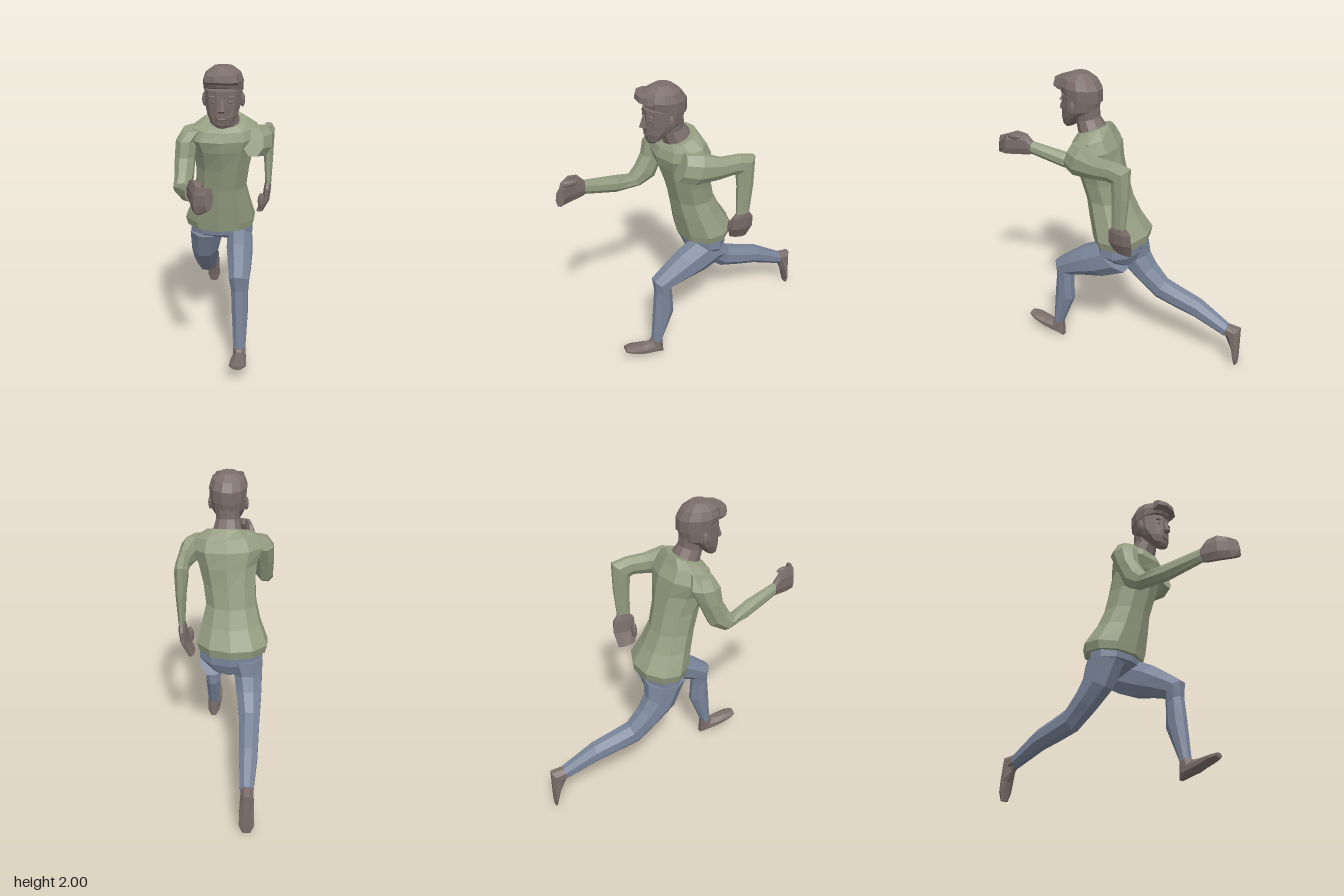
import * as THREE from 'three';

const mat = (name, color) => {
  const m = new THREE.MeshStandardMaterial({ color, flatShading: true });
  m.name = name;
  return m;
};

// Closed skin through rings. Each ring: [xMin, xMax, zA, yA, zB, yB, skewZ],
// where A and B are its two opposite edges in the side plane.
function loft(rings, sides) {
  const pos = [], idx = [], k = 1 / Math.cos(Math.PI / sides);
  for (const [x0, x1, za, ya, zb, yb, skew = 0] of rings) {
    for (let i = 0; i < sides; i++) {
      const t = ((i + 0.5) / sides) * Math.PI * 2;
      const c = Math.cos(t) * k, s = Math.sin(t) * k;
      pos.push((x0 + x1) / 2 + c * (x1 - x0) / 2,
        (ya + yb) / 2 + s * (ya - yb) / 2,
        (za + zb) / 2 + s * (za - zb) / 2 + c * skew);
    }
  }
  for (let r = 0; r < rings.length - 1; r++) {
    for (let i = 0; i < sides; i++) {
      const a = r * sides + i, b = r * sides + (i + 1) % sides;
      idx.push(a, b, a + sides, b, b + sides, a + sides);
    }
  }
  const last = (rings.length - 1) * sides;
  for (let i = 1; i < sides - 1; i++) {
    idx.push(0, i + 1, i, last, last + i, last + i + 1);
  }
  // Turn the faces outward if the enclosed volume is negative
  let vol = 0;
  const p = (i) => new THREE.Vector3().fromArray(pos, i * 3);
  for (let i = 0; i < idx.length; i += 3) {
    vol += p(idx[i]).dot(p(idx[i + 1]).cross(p(idx[i + 2])));
  }
  if (vol < 0) idx.reverse();
  const g = new THREE.BufferGeometry();
  g.setAttribute('position', new THREE.Float32BufferAttribute(pos, 3));
  g.setIndex(idx);
  g.computeVertexNormals();
  return g;
}

export function createModel() {
  const root = new THREE.Group();
  root.name = 'runner';
  const brown = mat('skin brown', 0x7c6e6b);
  const green = mat('shirt green', 0x969f83);
  const blue = mat('trouser blue', 0x7b869b);

  const add = (name, geo, material) => {
    const m = new THREE.Mesh(geo, material);
    m.name = name;
    root.add(m);
    return m;
  };
  const part = (name, material, sides, rings) => add(name, loft(rings, sides), material);
  const blob = (name, material, p, s) => {
    const m = add(name, new THREE.SphereGeometry(1, 8, 6), material);
    m.position.set(...p);
    m.scale.set(...s);
    return m;
  };

  // Shirt body, hem to collar
  part('shirtBody', green, 10, [
    [-0.27, 0.17, 0.10, 0.86, -0.24, 0.87],
    [-0.285, 0.185, 0.11, 0.91, -0.25, 0.93],
    [-0.23, 0.155, 0.14, 1.05, -0.175, 1.05],
    [-0.20, 0.13, 0.165, 1.17, -0.12, 1.17],
    [-0.19, 0.15, 0.205, 1.32, -0.09, 1.30],
    [-0.20, 0.18, 0.25, 1.45, -0.07, 1.43, -0.02],
    [-0.24, 0.22, 0.265, 1.52, -0.05, 1.54, -0.03],
    [-0.20, 0.20, 0.245, 1.58, -0.01, 1.62, -0.03],
    [-0.13, 0.13, 0.215, 1.61, 0.02, 1.68],
  ]);

  // Swung-back left sleeve and hand
  part('leftSleeve', green, 8, [
    [0.12, 0.25, 0.16, 1.60, 0.22, 1.43],
    [0.17, 0.30, 0.07, 1.60, 0.13, 1.41],
    [0.22, 0.305, -0.05, 1.56, -0.03, 1.42],
    [0.225, 0.305, -0.17, 1.555, -0.13, 1.43],
    [0.22, 0.305, -0.28, 1.53, -0.16, 1.42],
    [0.235, 0.30, -0.275, 1.33, -0.165, 1.33],
    [0.25, 0.29, -0.255, 1.12, -0.165, 1.12],
  ]);
  part('leftHand', brown, 8, [
    [0.25, 0.285, -0.245, 1.14, -0.175, 1.13],
    [0.24, 0.29, -0.285, 1.08, -0.14, 1.09],
    [0.23, 0.28, -0.29, 1.00, -0.135, 1.00],
    [0.19, 0.235, -0.27, 0.90, -0.15, 0.92],
  ]);
  blob('leftThumb', brown, [0.225, 1.0, -0.15], [0.025, 0.06, 0.02]);

  // Swung-forward right sleeve and hand
  part('rightSleeve', green, 8, [
    [-0.26, -0.12, 0.23, 1.58, 0.09, 1.60],
    [-0.305, -0.17, 0.26, 1.52, 0.07, 1.52],
    [-0.31, -0.185, 0.275, 1.42, 0.13, 1.40],
    [-0.305, -0.19, 0.32, 1.34, 0.20, 1.25],
    [-0.305, -0.205, 0.365, 1.28, 0.30, 1.195],
    [-0.25, -0.155, 0.48, 1.325, 0.49, 1.22],
    [-0.17, -0.11, 0.72, 1.385, 0.72, 1.295],
  ]);
  part('rightHand', brown, 8, [
    [-0.165, -0.115, 0.71, 1.38, 0.71, 1.30],
    [-0.155, -0.10, 0.76, 1.44, 0.74, 1.29],
    [-0.13, -0.075, 0.82, 1.46, 0.83, 1.285],
    [-0.10, -0.045, 0.88, 1.44, 0.90, 1.285],
    [-0.03, 0.01, 0.90, 1.44, 0.92, 1.32, -0.02],
  ]);
  blob('rightThumb', brown, [-0.07, 1.43, 0.83], [0.02, 0.022, 0.06]);

  // Trousers: seat and two legs
  part('trouserSeat', blue, 10, [
    [-0.245, 0.165, 0.08, 0.92, -0.20, 0.92],
    [-0.25, 0.17, 0.07, 0.82, -0.20, 0.79],
    [-0.18, 0.11, 0.03, 0.79, -0.17, 0.71],
  ]);
  part('leftTrouserLeg', blue, 8, [
    [0, 0.17, 0.05, 0.86, -0.17, 0.70],
    [0.01, 0.18, 0.17, 0.80, -0.01, 0.63],
    [0.03, 0.18, 0.28, 0.72, 0.13, 0.60],
    [0.045, 0.175, 0.37, 0.65, 0.25, 0.565],
    [0.06, 0.17, 0.36, 0.55, 0.245, 0.50],
    [0.065, 0.17, 0.375, 0.40, 0.24, 0.36],
    [0.08, 0.16, 0.40, 0.13, 0.335, 0.12],
  ]);
  part('rightTrouserLeg', blue, 8, [
    [-0.255, -0.03, -0.20, 0.82, 0.06, 0.80],
    [-0.255, -0.07, -0.21, 0.72, -0.02, 0.62],
    [-0.255, -0.09, -0.26, 0.63, -0.15, 0.50],
    [-0.25, -0.115, -0.35, 0.53, -0.29, 0.385],
    [-0.25, -0.12, -0.46, 0.49, -0.44, 0.345],
    [-0.25, -0.13, -0.61, 0.44, -0.58, 0.31],
    [-0.235, -0.15, -0.83, 0.31, -0.81, 0.22],
  ]);

  // Shoes
  part('leftShoe', brown, 8, [
    [0.08, 0.16, 0.405, 0.14, 0.33, 0.13],
    [0.08, 0.165, 0.42, 0.125, 0.325, 0.015],
    [0.07, 0.175, 0.48, 0.125, 0.46, 0.05],
    [0.07, 0.175, 0.56, 0.135, 0.55, 0.09],
    [0.09, 0.155, 0.605, 0.14, 0.605, 0.11],
  ]);
  part('rightShoe', brown, 8, [
    [-0.235, -0.155, -0.82, 0.31, -0.815, 0.225],
    [-0.24, -0.155, -0.915, 0.30, -0.83, 0.20],
    [-0.245, -0.15, -0.917, 0.14, -0.865, 0.13],
    [-0.245, -0.15, -0.917, 0.06, -0.885, 0.06],
    [-0.225, -0.17, -0.915, 0.005, -0.895, 0.005],
  ]);

  // Neck, face and hair
  part('neck', brown, 10, [
    [-0.10, 0.10, 0.21, 1.58, 0.03, 1.64],
    [-0.075, 0.075, 0.24, 1.68, 0.09, 1.72],
    [-0.08, 0.08, 0.25, 1.78, 0.095, 1.80],
  ]);
  part('face', brown, 12, [
    [-0.035, 0.035, 0.325, 1.63, 0.27, 1.64],
    [-0.068, 0.068, 0.335, 1.65, 0.235, 1.67],
    [-0.092, 0.092, 0.345, 1.70, 0.17, 1.72],
    [-0.108, 0.108, 0.345, 1.76, 0.10, 1.76],
    [-0.115, 0.115, 0.345, 1.86, 0.08, 1.85],
  ]);
  part('hair', brown, 12, [
    [-0.118, 0.118, 0.345, 1.88, 0.075, 1.82],
    [-0.122, 0.122, 0.36, 1.92, 0.075, 1.90],
    [-0.105, 0.105, 0.335, 1.965, 0.11, 1.955],
    [-0.055, 0.055, 0.27, 2.0, 0.16, 1.995],
  ]);
  part('fringe', brown, 8, [
    [-0.095, 0.095, 0.35, 1.90, 0.29, 1.89],
    [-0.10, 0.10, 0.39, 1.92, 0.29, 1.91],
    [-0.09, 0.09, 0.385, 1.955, 0.28, 1.97],
  ]);
  part('nose', brown, 6, [
    [-0.011, 0.011, 0.352, 1.82, 0.33, 1.82],
    [-0.022, 0.022, 0.378, 1.745, 0.33, 1.74],
    [-0.015, 0.015, 0.352, 1.73, 0.33, 1.73],
  ]);
  blob('lips', brown, [0, 1.69, 0.337], [0.036, 0.011, 0.012]);
  for (const s of [-1, 1]) {
    const side = s > 0 ? 'left' : 'right';
    blob(side + 'Ear', brown, [s * 0.118, 1.79, 0.215], [0.015, 0.045, 0.022]);
    blob(side + 'Eye', brown, [s * 0.045, 1.795, 0.325], [0.02, 0.012, 0.012]);
    blob(side + 'Brow', brown, [s * 0.048, 1.825, 0.325], [0.035, 0.008, 0.014]);
  }
  return root;
}
